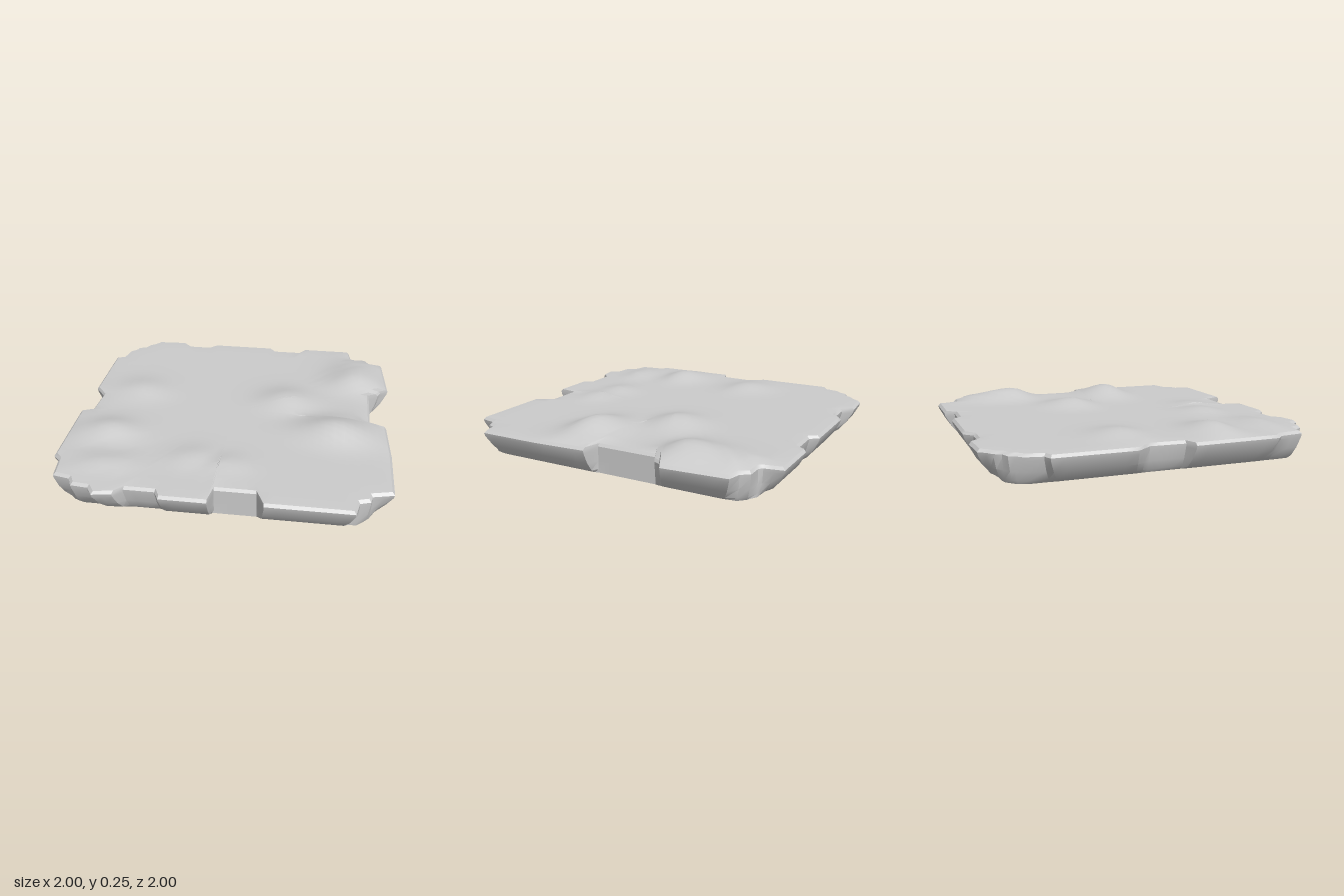
import * as THREE from 'three';
import { toCreasedNormals } from 'three/addons/utils/BufferGeometryUtils.js';

// Jagged plan outline (x, z), clockwise from the back left corner.
const backEdge = [[-0.99, -0.67], [-0.94, -0.69], [-0.92, -0.79], [-0.88, -0.83], [-0.87, -0.86], [-0.82, -0.88],
  [-0.8, -0.92], [-0.76, -0.95], [-0.73, -0.99], [-0.54, -1], [-0.48, -0.94], [-0.33, -0.94], [-0.28, -0.99],
  [0.14, -0.99], [0.18, -0.94], [0.37, -0.94], [0.41, -1], [0.73, -1], [0.75, -0.89], [0.77, -0.87]];
const leftEdge = [[0.86, -0.87], [0.89, -0.82], [0.97, -0.8], [1, -0.42], [0.95, -0.39], [0.93, -0.35],
  [0.87, -0.32], [0.87, 0.05], [0.97, 0.08], [0.99, 0.4], [0.99, 0.78], [0.87, 0.81], [0.86, 0.86]];
const frontEdge = [[0.8, 0.88], [0.78, 0.98], [0.29, 0.98], [0.24, 0.87], [0, 0.87], [-0.02, 0.99], [-0.29, 0.99],
  [-0.32, 0.93], [-0.5, 0.93], [-0.55, 0.98], [-0.66, 1], [-0.7, 0.94], [-0.8, 0.93], [-0.83, 0.87]];
const rightEdge = [[-0.93, 0.85], [-0.95, 0.7], [-0.99, 0.66], [-1, 0.14], [-0.93, 0.11], [-0.92, -0.1],
  [-0.95, -0.14], [-0.99, -0.19]];

// Mounds: x, z, height, width in x, width to the back, width to the front.
const mounds = [
  [0.65, 0.22, 0.08, 0.15, 0.12, 0.09],
  [0.77, -0.46, 0.07, 0.12, 0.22, 0.09],
  [0.32, -0.15, 0.05, 0.12, 0.12, 0.1],
  [-0.73, 0.37, 0.052, 0.12, 0.1, 0.08],
  [-0.66, -0.18, 0.036, 0.12, 0.11, 0.09],
  [-0.17, 0.6, 0.026, 0.1, 0.09, 0.07],
  [0.03, 0.64, 0.024, 0.1, 0.08, 0.07],
  [-0.66, 0.72, 0.026, 0.12, 0.08, 0.06],
];
const GROUND = 0.174;

function groundHeight(x, z) {
  let h = 0;
  for (const [mx, mz, top, wx, back, front] of mounds) {
    const u = (x - mx) / wx, v = (z - mz) / (z < mz ? back : front);
    h = Math.max(h, top * Math.exp(-0.5 * (u * u + v * v)));
  }
  return GROUND + h;
}

// Split the long runs so the terrain has enough facets.
function subdivide(points, step) {
  return points.flatMap(([x, z], i) => {
    const [nx, nz] = points[(i + 1) % points.length];
    const n = Math.max(1, Math.round(Math.hypot(nx - x, nz - z) / step));
    return Array.from({ length: n }, (_, k) => [x + (nx - x) * k / n, z + (nz - z) * k / n]);
  });
}

// Skin a list of equal closed rings of [x, y, z].
function loft(rings) {
  const n = rings[0].length, index = [];
  for (let r = 0; r < rings.length - 1; r++) {
    for (let i = 0; i < n; i++) {
      const j = (i + 1) % n, a = r * n + i, b = r * n + j, c = a + n, d = b + n;
      index.push(a, c, b, b, c, d);
    }
  }
  const geometry = new THREE.BufferGeometry();
  geometry.setAttribute('position', new THREE.Float32BufferAttribute(rings.flat(2), 3));
  geometry.setIndex(index);
  return geometry;
}

export function createModel() {
  const group = new THREE.Group();
  const material = new THREE.MeshStandardMaterial({ color: 0xcccccc });
  const outline = subdivide([...backEdge, ...leftEdge, ...frontEdge, ...rightEdge], 0.07);

  // Straight-sided core with cut corners that the rim stones bulge out from.
  const core = outline.map(([x, z]) => {
    const ax = Math.abs(x), az = Math.abs(z);
    const s = Math.min(1, 0.87 / Math.max(ax, az), 1.66 / (ax + az));
    return [x * s, z * s];
  });
  const rimRing = (k, y, scale = 1) => outline.map(([x, z], i) =>
    [(x + (core[i][0] - x) * k) * scale, y, (z + (core[i][1] - z) * k) * scale]);

  // Flat underside and curved stone rim.
  const sides = loft([
    rimRing(1, 0, 0.0001), rimRing(0.94, 0), rimRing(0.65, 0.02),
    rimRing(0.32, 0.07), rimRing(0.04, 0.135), rimRing(0, 0.155), rimRing(0, GROUND - 0.003, 0.985),
  ]);
  const rim = new THREE.Mesh(toCreasedNormals(sides, 0.6), material);
  rim.name = 'stoneRim';
  group.add(rim);

  // Uneven ground, in rings from the rim to the centre.
  const steps = 18, rings = [];
  for (let r = 0; r <= steps; r++) {
    const f = Math.max(0.0001, 0.985 * (1 - r / steps));
    rings.push(outline.map(([x, z]) => {
      const y = r === 0 ? GROUND - 0.003 : groundHeight(x * f, z * f);
      return [x * f, y, z * f];
    }));
  }
  const ground = new THREE.Mesh(toCreasedNormals(loft(rings), 0.6), material);
  ground.name = 'ground';
  group.add(ground);

  return group;
}
